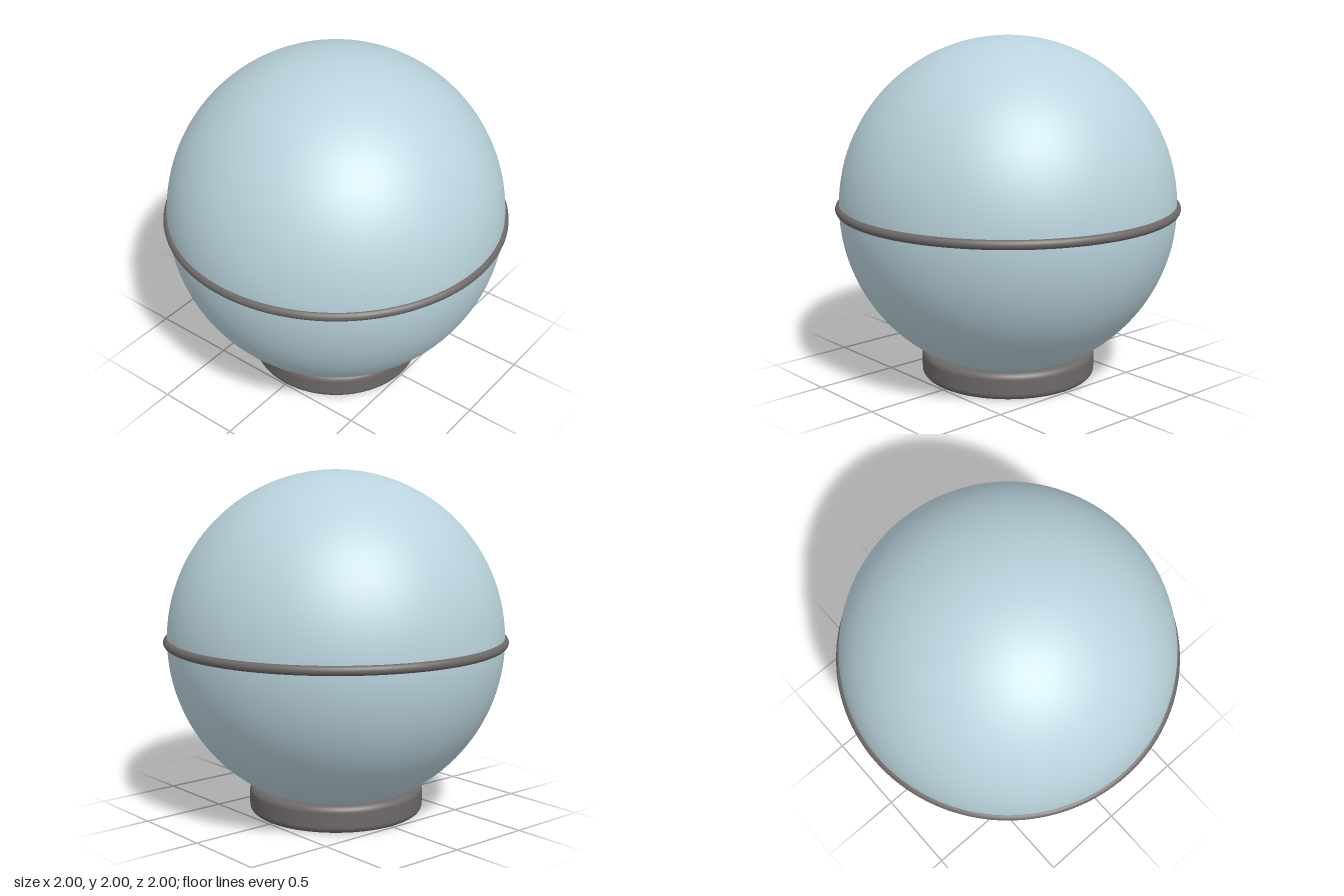
import * as THREE from 'three';

const glass = new THREE.MeshStandardMaterial({ color: 0xbad3dd });
glass.name = 'pale blue glass';
const metal = new THREE.MeshStandardMaterial({ color: 0x6c6867 });
metal.name = 'dark grey metal';

// Revolved disc with quarter-round edges and flat faces
function roundedDisc(radius, height, bevel) {
  const profile = new THREE.Shape();
  profile.moveTo(0, 0);
  profile.lineTo(radius - bevel, 0);
  profile.absarc(radius - bevel, bevel, bevel, -Math.PI / 2, 0, false);
  profile.absarc(radius - bevel, height - bevel, bevel, 0, Math.PI / 2, false);
  profile.lineTo(0, height);
  return new THREE.LatheGeometry(profile.getPoints(8), 96);
}

export function createModel() {
  const model = new THREE.Group();
  model.name = 'globeLamp';

  const add = (name, geometry, material, y) => {
    const mesh = new THREE.Mesh(geometry, material);
    mesh.name = name;
    mesh.position.y = y;
    model.add(mesh);
    return mesh;
  };

  // Globe resting in the base
  add('globe', new THREE.SphereGeometry(0.978, 96, 64), glass, 1.022);

  // Thin band around the equator
  add('equatorBand', new THREE.TorusGeometry(0.973, 0.027, 20, 128).rotateX(Math.PI / 2), metal, 1.022);

  // Round foot
  add('base', roundedDisc(0.511, 0.16, 0.04), metal, 0);

  return model;
}
